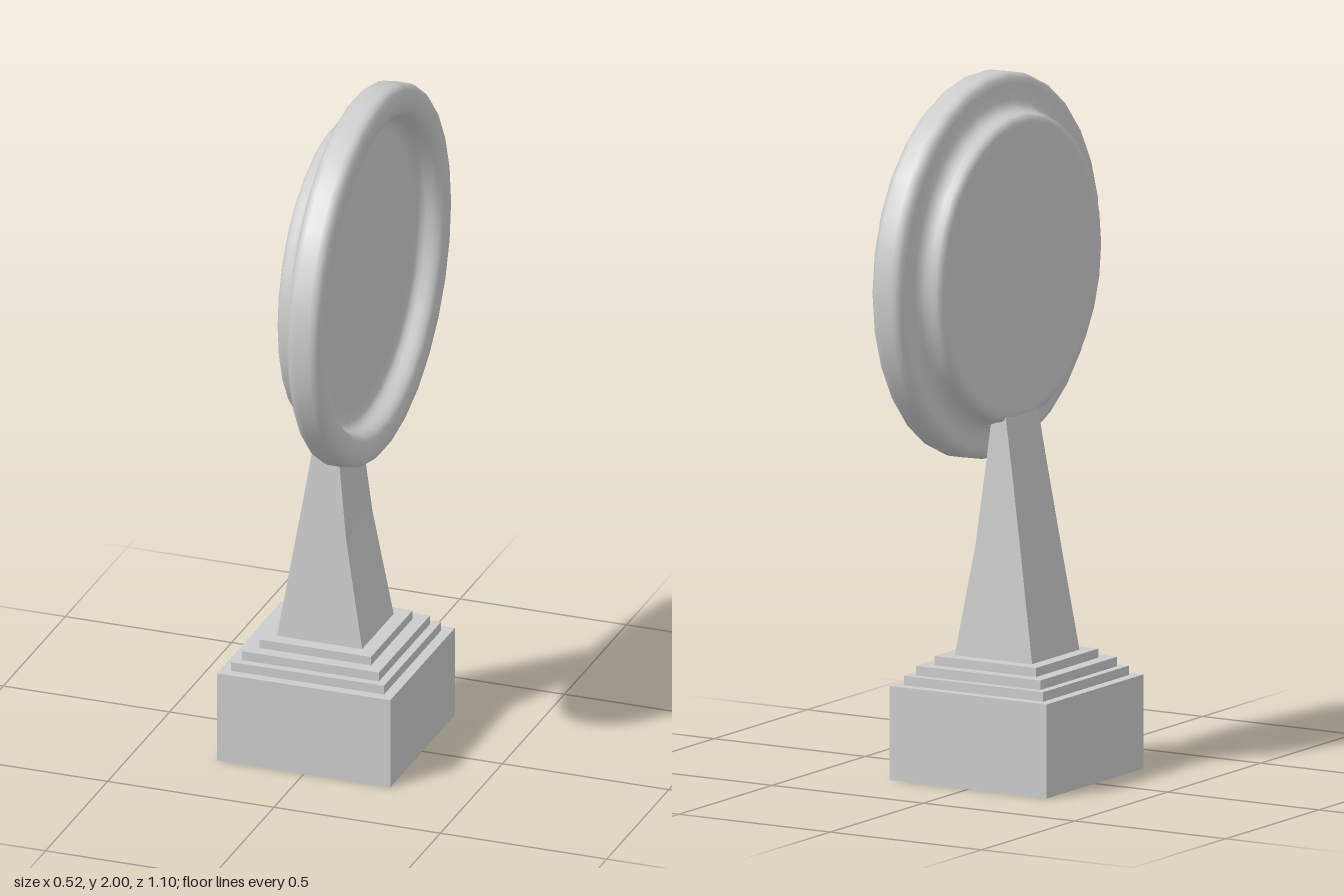
import * as THREE from 'three';

const grey = new THREE.MeshStandardMaterial({ color: 0xcccccc });
const flatGrey = new THREE.MeshStandardMaterial({ color: 0xcccccc, flatShading: true });

function addMesh(parent, name, geometry, material) {
  const mesh = new THREE.Mesh(geometry, material);
  mesh.name = name;
  parent.add(mesh);
  return mesh;
}

// Square plinth with three shallow steps: [half width, bottom, top]
function createBase() {
  const base = new THREE.Group();
  base.name = 'base';
  const tiers = [[0.26, 0, 0.27], [0.23, 0.27, 0.297], [0.206, 0.297, 0.324], [0.168, 0.324, 0.35]];
  tiers.forEach(([half, y0, y1], i) => {
    const box = new THREE.BoxGeometry(half * 2, y1 - y0, half * 2);
    addMesh(base, i ? `step${i}` : 'plinth', box, flatGrey).position.y = (y0 + y1) / 2;
  });
  return base;
}

// Tapered pillar: a box whose levels are [y, min x, max x, half depth]
function createPillar() {
  const levels = [
    [0.35, -0.13, 0.126, 0.127],
    [0.67, -0.078, 0.07, 0.106],
    [0.91, -0.039, 0.043, 0.092],
    [1.1, -0.008, 0.022, 0.084],
  ];
  const geometry = new THREE.BoxGeometry(1, 1, 1, 1, 3, 1);
  const pos = geometry.attributes.position;
  for (let i = 0; i < pos.count; i++) {
    const [y, x0, x1, z] = levels[Math.round((pos.getY(i) + 0.5) * 3)];
    pos.setXYZ(i, pos.getX(i) < 0 ? x0 : x1, y, Math.sign(pos.getZ(i)) * z);
  }
  geometry.computeVertexNormals();
  return geometry;
}

// Round dish, profile as [radius, axial position] from back centre to front centre
function createDish() {
  const profile = [
    [0, -0.02], [0.405, -0.02], [0.42, -0.019], [0.432, -0.014], [0.439, -0.004], // back drum
    [0.442, 0.012], [0.448, 0.028], [0.458, 0.039], [0.473, 0.046], [0.493, 0.05], // fillet
    [0.52, 0.05], [0.536, 0.054], [0.546, 0.064], [0.55, 0.078], // rim
    [0.55, 0.122], [0.546, 0.136], [0.536, 0.146], [0.52, 0.15],
    [0.495, 0.15], [0.475, 0.147], [0.462, 0.138], [0.454, 0.122], // inner lip
    [0.449, 0.104], [0.443, 0.091], [0.432, 0.083], [0.415, 0.08], [0.4, 0.08], // inner wall
    [0, 0.08], // recessed face
  ].map(([r, a]) => new THREE.Vector2(r, a));
  return new THREE.LatheGeometry(profile, 30).rotateZ(-Math.PI / 2);
}

export function createModel() {
  const model = new THREE.Group();
  model.name = 'dishOnPedestal';
  model.add(createBase());
  addMesh(model, 'pillar', createPillar(), flatGrey);
  addMesh(model, 'dish', createDish(), grey).position.y = 1.453;
  return model;
}
